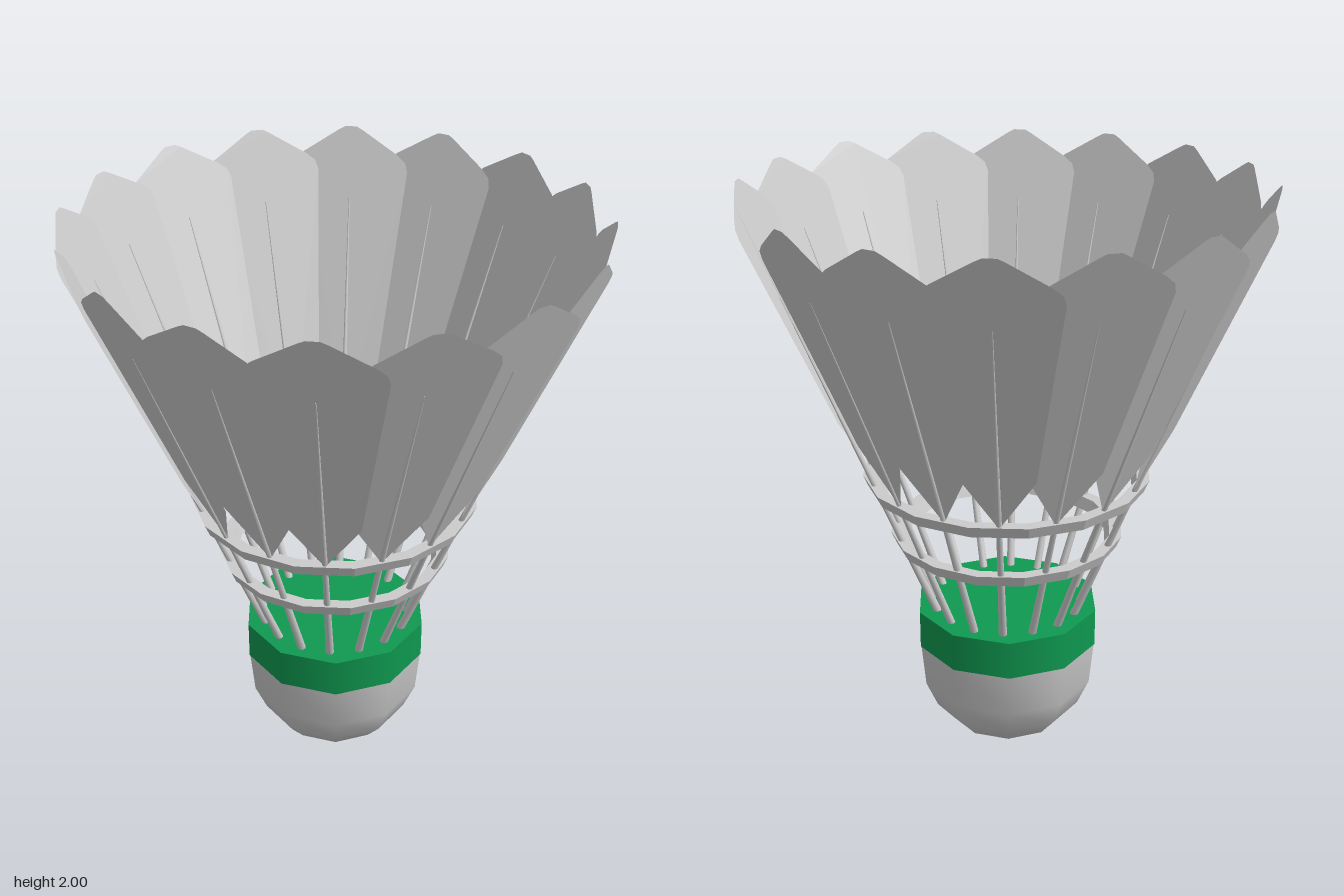
import * as THREE from 'three';

const COUNT = 16;
const SIDES = 10;

// Radius of the flared skirt at a given height
const skirtRadius = (y) => 0.255 + 0.405 * (y - 0.52);

const v2 = (list) => list.map(([x, y]) => new THREE.Vector2(x, y));

// Flat vane, leaned onto the skirt and twisted so that its +x edge overlaps its neighbour
function vaneGeometry() {
  const half = [[0.118, 1.22], [0.203, 1.86], [0.195, 1.89], [0.165, 1.915], [0.04, 1.99], [0.02, 2]];
  const mirrored = half.map(([x, y]) => [-x, y]).reverse();
  const geometry = new THREE.ShapeGeometry(new THREE.Shape(v2([[0, 1.02], ...half, ...mirrored])));
  const p = geometry.attributes.position;
  const twist = Math.tan(THREE.MathUtils.degToRad(4));
  for (let i = 0; i < p.count; i++) p.setZ(i, skirtRadius(p.getY(i)) + p.getX(i) * twist);
  geometry.computeVertexNormals();
  return geometry;
}

// Tapered shaft running up the skirt
function shaftGeometry(y0, y1) {
  const a = new THREE.Vector3(0, y0, skirtRadius(y0));
  const b = new THREE.Vector3(0, y1, skirtRadius(y1));
  const dir = b.clone().sub(a);
  const geometry = new THREE.CylinderGeometry(0.002, 0.0145, dir.length(), 8);
  geometry.applyQuaternion(new THREE.Quaternion().setFromUnitVectors(
    new THREE.Vector3(0, 1, 0), dir.normalize()));
  const mid = a.add(b).multiplyScalar(0.5);
  return geometry.translate(mid.x, mid.y, mid.z);
}

// Flared binding band of small square section
function bandGeometry(y) {
  const h = 0.02, w = 0.021, r = skirtRadius(y) + 0.004;
  const lean = 0.405 * h;
  const profile = v2([
    [r - w - lean, y - h], [r + w - lean, y - h],
    [r + w + lean, y + h], [r - w + lean, y + h], [r - w - lean, y - h],
  ]);
  return new THREE.LatheGeometry(profile, COUNT, Math.PI / COUNT);
}

export function createModel() {
  const model = new THREE.Group();
  model.name = 'shuttlecock';
  const grey = new THREE.MeshStandardMaterial({ color: 0xcccccc });
  const flatGrey = new THREE.MeshStandardMaterial({ color: 0xcccccc, flatShading: true });
  const vaneGrey = new THREE.MeshStandardMaterial({ color: 0xcccccc, side: THREE.DoubleSide });
  const green = new THREE.MeshStandardMaterial({ color: 0x0f9950 });

  const add = (parent, name, geometry, material) => {
    const mesh = new THREE.Mesh(geometry, material);
    mesh.name = name;
    parent.add(mesh);
    return mesh;
  };

  // Rounded cork nose
  const nose = v2([[0, 0], [0.1, 0.02], [0.2, 0.068], [0.262, 0.14], [0.303, 0.235], [0.318, 0.395]]);
  add(model, 'cork', new THREE.LatheGeometry(nose, SIDES, Math.PI / 2), grey);

  // Coloured collar with its flat top
  add(model, 'collar',
    new THREE.CylinderGeometry(0.32, 0.32, 0.135, SIDES, 1, false, Math.PI / 2), green)
    .position.y = 0.458;

  // Two binding bands
  add(model, 'lowerBand', bandGeometry(0.795), flatGrey);
  add(model, 'upperBand', bandGeometry(1.012), flatGrey);

  // Ring of feathers
  const vane = vaneGeometry();
  const shaft = shaftGeometry(0.48, 1.77);
  for (let i = 0; i < COUNT; i++) {
    const feather = new THREE.Group();
    feather.name = 'feather' + (i + 1);
    add(feather, 'vane', vane, vaneGrey);
    add(feather, 'shaft', shaft, grey);
    feather.rotation.y = (i / COUNT) * Math.PI * 2;
    model.add(feather);
  }
  return model;
}
